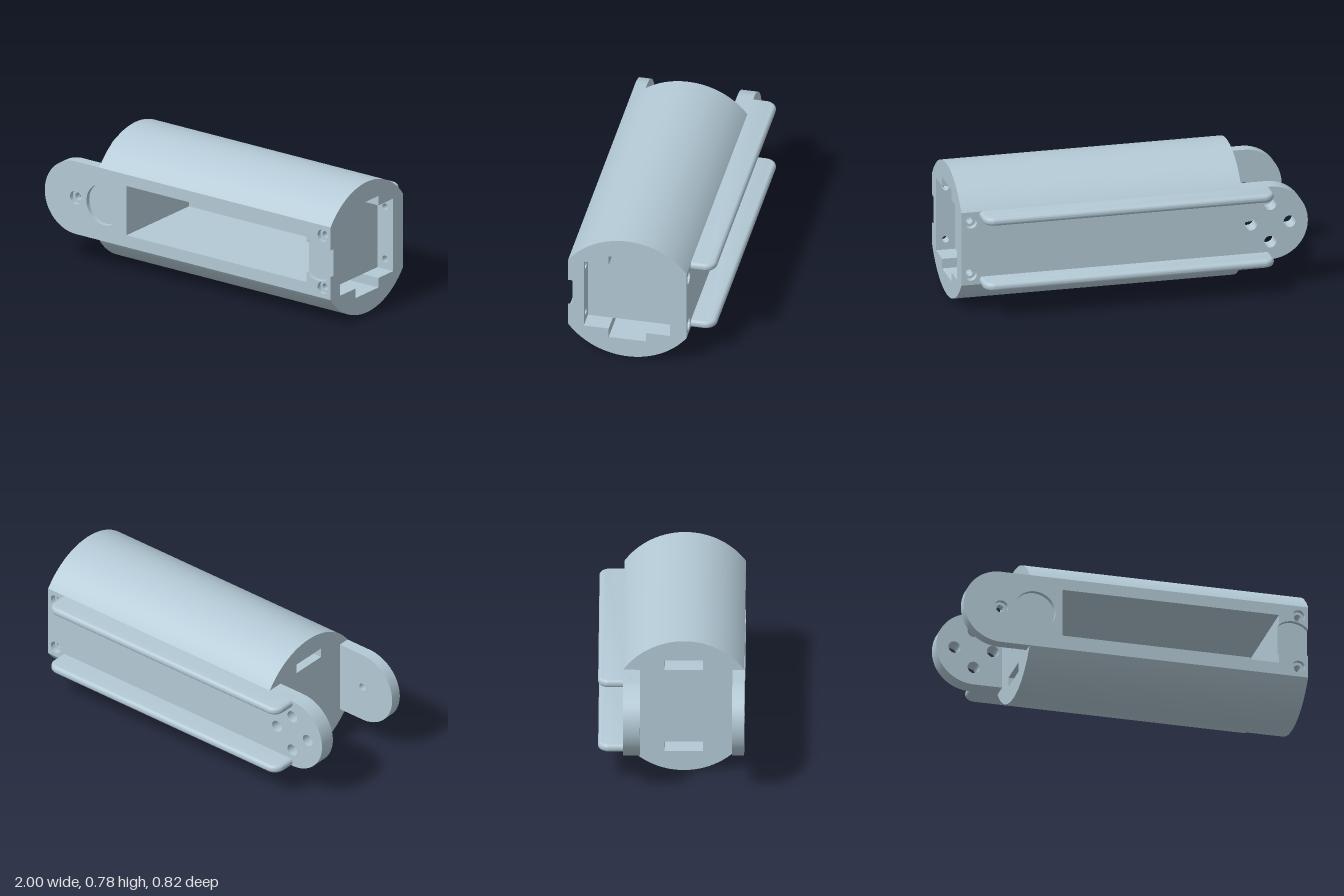
import * as THREE from 'three';
import { toCreasedNormals } from 'three/addons/utils/BufferGeometryUtils.js';

const BOTTOM = 0.174, TOP = 0.608, MID = 0.391;   // flat core
const END = -0.62, EAR = -0.785, EAR_R = (TOP - BOTTOM) / 2;
const BACK = -0.27, INNER_BACK = -0.175, INNER_FRONT = 0.32, FRONT = 0.41;

export function createModel() {
  const root = new THREE.Group();
  const steel = new THREE.MeshStandardMaterial({ color: 0xb3c9d5 });
  steel.name = 'paleSteelBlue';

  const add = (name, geo) => {
    const mesh = new THREE.Mesh(toCreasedNormals(geo, 0.5), steel);
    mesh.name = name;
    root.add(mesh);
    return mesh;
  };
  // Layer of the core, cut in the XY plane and filling z0..z1
  const layer = (name, shape, holes, z0, z1) => {
    shape.holes.push(...holes);
    const geo = new THREE.ExtrudeGeometry(shape, { depth: z1 - z0, bevelEnabled: false, curveSegments: 32 });
    return add(name, geo.translate(0, 0, z0));
  };
  const rect = (x0, y0, x1, y1) => new THREE.Shape([[x0, y0], [x1, y0], [x1, y1], [x0, y1]]
    .map(p => new THREE.Vector2(...p)));
  const circle = (x, y, r) => new THREE.Path().absarc(x, y, r, 0, Math.PI * 2, false);
  const pocket = () => rect(-0.43, 0.245, 0.83, 0.54);
  const screws = r => [0.235, 0.547].map(y => circle(0.945, y, r));

  // Plate outline with a round ear; optionally the pocket and thumb notch open at the +x end
  const plate = notched => {
    const s = new THREE.Shape();
    s.moveTo(EAR, BOTTOM);
    s.lineTo(1, BOTTOM);
    if (notched) {
      s.absarc(0.91, MID, 0.12, -0.727, -2.3, true);
      s.lineTo(0.83, 0.245);
      s.lineTo(-0.43, 0.245);
      s.lineTo(-0.43, 0.54);
      s.lineTo(0.83, 0.54);
      s.absarc(0.91, MID, 0.12, 2.3, 0.727, true);
    }
    s.lineTo(1, TOP);
    s.lineTo(EAR, TOP);
    s.absarc(EAR, MID, EAR_R, Math.PI / 2, Math.PI * 1.5, false);
    return s;
  };

  // Front plate: recessed outer skin, then the ear's full thickness, then the inner wall
  layer('frontPlateSkin', plate(true),
    [circle(-0.59, MID, 0.12), circle(EAR, MID, 0.04), ...screws(0.036)], 0.384, FRONT);
  layer('frontPlate', plate(false), [pocket(), circle(EAR, MID, 0.022), ...screws(0.02)], 0.343, 0.384);
  layer('frontWall', rect(END, BOTTOM, 1, TOP), [pocket(), ...screws(0.02)], INNER_FRONT, 0.343);

  // Core, stopping short of the +x end to leave a recess
  layer('core', rect(END, BOTTOM, 0.89, TOP), [pocket()], INNER_BACK, INNER_FRONT);

  // Back plate with a ring of four holes in its ear
  const earHoles = () => [0, 1, 2, 3].map(i => circle(
    EAR + 0.112 * Math.cos(i * Math.PI / 2), MID + 0.112 * Math.sin(i * Math.PI / 2), 0.035));
  layer('backPlateInner', plate(false), [...earHoles(), ...screws(0.02)], -0.235, INNER_BACK);
  layer('backPlateOuter', plate(false), [...earHoles(), ...screws(0.036)], BACK, -0.235);

  // Curved shells above and below the core, each with a long slot underneath
  const zc = 0.07, half = 0.34, sag = 0.173;
  const r = (half * half + sag * sag) / (2 * sag), a = Math.asin(half / r);
  const cap = new THREE.Shape();
  cap.moveTo(-half, 0);
  cap.lineTo(-0.107, 0);
  cap.lineTo(-0.107, 0.057);
  cap.lineTo(0.107, 0.057);
  cap.lineTo(0.107, 0);
  cap.lineTo(half, 0);
  cap.absarc(0, sag - r, r, Math.PI / 2 - a, Math.PI / 2 + a, false);
  for (const [name, y, turn] of [['topShell', TOP, 0], ['bottomShell', BOTTOM, Math.PI]]) {
    const geo = new THREE.ExtrudeGeometry(cap, { depth: 1 - END, bevelEnabled: false, curveSegments: 48 });
    geo.rotateY(Math.PI / 2).rotateX(turn).translate(END, y, zc);
    add(name, geo);
  }

  // Two rounded rails along the back
  const b = 0.02, x0 = EAR + b, x1 = 0.895 - b, d = 0.41 - b, c = 0.045, root0 = 0.265 + b;
  const rail = new THREE.Shape();
  rail.moveTo(x0, root0);
  rail.lineTo(x1, root0);
  rail.absarc(x1 - c, d - c, c, 0, Math.PI / 2, false);
  rail.absarc(x0 + c, d - c, c, Math.PI / 2, Math.PI, false);
  // the root edge is carried into the plate so only the outer edges look rounded
  rail.curves[0].v1.y = root0 - 0.05;
  rail.curves[0].v2.y = root0 - 0.05;
  for (const [name, y] of [['upperRail', 0.586], ['lowerRail', 0.196]]) {
    const geo = new THREE.ExtrudeGeometry(rail, {
      depth: 0.006, bevelSize: b, bevelThickness: b, bevelSegments: 6, curveSegments: 12,
    });
    geo.translate(0, 0, -0.003).rotateX(-Math.PI / 2).translate(0, y, 0);
    add(name, geo);
  }
  return root;
}
